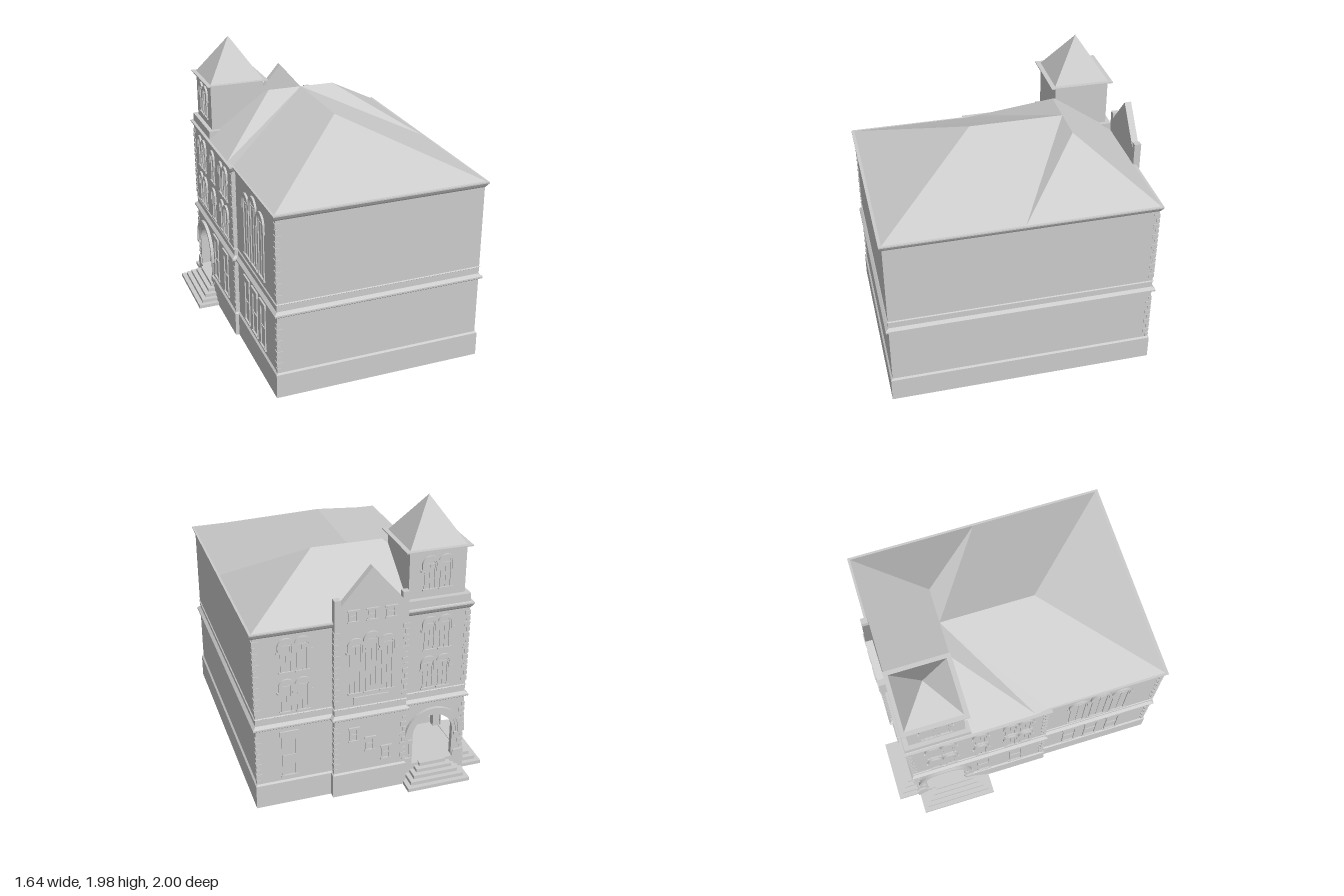
import * as THREE from 'three';
import { mergeGeometries } from 'three/addons/utils/BufferGeometryUtils.js';

const mat = new THREE.MeshStandardMaterial({ color: 0xcccccc, flatShading: true });
const roofMat = new THREE.MeshStandardMaterial({ color: 0xcccccc, flatShading: true, side: THREE.DoubleSide });

// Footprints as [x, z], walked with the outside on +z for a +x edge
const HOUSE = [[-.635, .98], [.795, .98], [.795, -.84], [-.66, -.84], [-.66, .15], [-.635, .15]];
const NOTCHED = [[-.635, .98], [.795, .98], [.795, -.84], [-.22, -.84], [-.22, -.40], [-.66, -.40], [-.66, .15], [-.635, .15]];
const BAY = [[-.215, -.80], [.28, -.80], [.28, -.885], [-.215, -.885]];

function add(parent, name, geo, x = 0, y = 0, z = 0, material = mat) {
  const m = new THREE.Mesh(geo, material);
  m.name = name;
  m.position.set(x, y, z);
  parent.add(m);
  return m;
}

// Box given by its limits
function block(parent, name, x0, x1, y0, y1, z0, z1) {
  return add(parent, name, new THREE.BoxGeometry(x1 - x0, y1 - y0, z1 - z0), (x0 + x1) / 2, (y0 + y1) / 2, (z0 + z1) / 2);
}

function fromTriangles(pos) {
  const g = new THREE.BufferGeometry();
  g.setAttribute('position', new THREE.Float32BufferAttribute(pos, 3));
  g.computeVertexNormals();
  return g;
}

// Right-angled footprint lofted through a profile of [offset, y], capped at both ends
function band(parent, name, pts, profile) {
  const n = pts.length;
  const normals = pts.map((p, i) => {
    const q = pts[(i + 1) % n];
    return [-Math.sign(q[1] - p[1]), Math.sign(q[0] - p[0])];
  });
  const rings = profile.map(([o, y]) => pts.map((p, i) => {
    const a = normals[(i + n - 1) % n], b = normals[i];
    return [p[0] + o * (a[0] + b[0]), y, p[1] + o * (a[1] + b[1])];
  }));
  const pos = [];
  for (let r = 0; r < rings.length - 1; r++) {
    for (let i = 0; i < n; i++) {
      const j = (i + 1) % n, A = rings[r], B = rings[r + 1];
      pos.push(...A[i], ...A[j], ...B[j], ...A[i], ...B[j], ...B[i]);
    }
  }
  const flat = pts.map(p => new THREE.Vector2(p[0], -p[1]));
  const last = rings[rings.length - 1];
  for (const [a, b, c] of THREE.ShapeUtils.triangulateShape(flat, [])) {
    pos.push(...last[a], ...last[b], ...last[c], ...rings[0][a], ...rings[0][c], ...rings[0][b]);
  }
  return add(parent, name, fromTriangles(pos), 0, 0, 0);
}

const extrude = (shape, depth) => new THREE.ExtrudeGeometry(shape, { depth, bevelEnabled: false, curveSegments: 12 });

// Arch-shaped strip from yb up over a semicircle centred at ys
function archBand(ri, ro, yb, ys, depth) {
  const s = new THREE.Shape();
  s.moveTo(ro, yb);
  s.lineTo(ro, ys);
  s.absarc(0, ys, ro, 0, Math.PI, false);
  s.lineTo(-ro, yb);
  s.lineTo(-ri, yb);
  s.lineTo(-ri, ys);
  s.absarc(0, ys, ri, Math.PI, 0, true);
  s.lineTo(ri, yb);
  return extrude(s, depth);
}

function archWindow(face, u, w, y0, y1) {
  const g = new THREE.Group();
  g.name = 'archedWindow';
  g.position.x = u;
  face.add(g);
  const r = w / 2, ys = y1 - r;
  add(g, 'hood', archBand(r, r + .018, ys - .035, ys, .014));
  add(g, 'frame', archBand(r - .01, r, y0, ys, .007));
  block(g, 'hoodFootLeft', -r - .026, -r, ys - .05, ys - .035, 0, .014);
  block(g, 'hoodFootRight', r, r + .026, ys - .05, ys - .035, 0, .014);
  block(g, 'transom', -r, r, ys - .005, ys + .003, 0, .005);
  block(g, 'mullion', -.003, .003, y0, ys, 0, .004);
  block(g, 'sill', -r - .01, r + .01, y0 - .012, y0, 0, .012);
}

function archRow(face, u, count, pitch, w, y0, y1, rise = 0) {
  for (let i = 0; i < count; i++) {
    const k = i - (count - 1) / 2;
    archWindow(face, u + k * pitch, w, y0, y1 + (k === 0 ? rise : 0));
  }
}

function rectWindow(face, u, w, y0, y1, lintel = .04) {
  const g = new THREE.Group();
  g.name = 'rectangularWindow';
  g.position.x = u;
  face.add(g);
  const r = w / 2, t = .01, mid = (y0 + y1) / 2;
  block(g, 'leftJamb', -r, -r + t, y0, y1, 0, .008);
  block(g, 'rightJamb', r - t, r, y0, y1, 0, .008);
  block(g, 'crossBar', -r, r, mid - .004, mid + .004, 0, .006);
  block(g, 'sill', -r - .008, r + .008, y0 - .012, y0, 0, .012);
  block(g, 'lintel', -r - .012, r + .012, y1, y1 + lintel, 0, .012);
}

// Arched porch wall with stepped mouldings
function porchWall(face, u, u0, u1) {
  const g = new THREE.Group();
  g.name = 'porchArch';
  face.add(g);
  const r = .155, ys = .34, s = new THREE.Shape();
  s.moveTo(u0, .12);
  s.lineTo(u - r, .12);
  s.lineTo(u - r, ys);
  s.absarc(u, ys, r, Math.PI, 0, true);
  s.lineTo(u + r, .12);
  s.lineTo(u1, .12);
  s.lineTo(u1, .58);
  s.lineTo(u0, .58);
  add(g, 'porchWall', extrude(s, .05), 0, 0, -.05);
  add(g, 'outerArch', archBand(.185, .205, ys - .02, ys, .022), u);
  add(g, 'middleArch', archBand(.168, .185, ys - .02, ys, .014), u);
  add(g, 'innerArch', archBand(r - .01, .168, .12, ys, .007), u);
  for (const k of [-1, 1]) block(g, 'impost', u + k * .183 - .026, u + k * .183 + .026, ys - .04, ys - .02, 0, .022);
  block(g, 'leftPierBase', u0, u - r, .12, .17, -.05, .015);
  block(g, 'rightPierBase', u + r, u1, .12, .17, -.05, .015);
}

export function createModel() {
  const model = new THREE.Group();
  model.name = 'hall';
  const faceGroup = (name, x, z, ry) => {
    const g = new THREE.Group();
    g.name = name;
    g.position.set(x, 0, z);
    g.rotation.y = ry;
    model.add(g);
    return g;
  };

  // Walls: foot, ground storey with corner porch cut out, upper storeys with mouldings
  const course = [[0, .585], [.02, .6], [.02, .612], [0, .63], [0, .675], [.007, .68], [0, .685]];
  band(model, 'foot', HOUSE, [[.012, 0], [.012, .12]]);
  band(model, 'groundStorey', NOTCHED, [[.012, .12], [.012, .17], [0, .18], [0, .58]]);
  band(model, 'upperStoreys', HOUSE, [[0, .58], ...course, [0, 1.26], [.008, 1.27], [.021, 1.292], [.021, 1.3]]);
  band(model, 'bayBase', BAY, [[.012, 0], [.012, .17], [0, .18], ...course]);

  // Local x on the back is -x; on the side it is z
  const back = faceGroup('backFace', 0, -.84, Math.PI);
  const bay = faceGroup('gabledBay', .0325, -.885, Math.PI);
  const wing = faceGroup('wingFace', -.66, 0, -Math.PI / 2);
  const main = faceGroup('mainSideFace', -.635, 0, -Math.PI / 2);

  // Gabled bay
  const half = [[.2475, .68], [.2475, 1.46], [.205, 1.46], [.205, 1.42]];
  const outline = [...half, [0, 1.66], ...half.map(([x, y]) => [-x, y]).reverse()];
  add(bay, 'gableWall', extrude(new THREE.Shape(outline.map(p => new THREE.Vector2(...p))), .047), 0, 0, -.047);
  archRow(bay, 0, 3, .108, .08, .79, 1.17, .035);
  block(bay, 'panel', -.12, .12, .7, .755, 0, .01);
  for (const k of [-1, 0, 1]) {
    rectWindow(bay, k * .125, .06, 1.31, 1.375, .012);
    rectWindow(bay, k * .113, .058, .335 - k * .09, .42 - k * .09, .015);
  }

  // Back wall
  for (const [y0, y1] of [[.71, .93], [1.0, 1.22]]) {
    archRow(back, -.53, 2, .108, .075, y0, y1);
    archRow(back, .435, 2, .108, .075, y0, y1);
    archRow(wing, -.61, 2, .108, .075, y0, y1);
    archRow(wing, -.33, 1, 0, .075, y0, y1);
    archRow(wing, -.06, 2, .108, .075, y0, y1);
  }
  rectWindow(back, -.575, .1, .22, .52);
  porchWall(back, .435, .22, .66);

  // Side walls
  porchWall(wing, -.62, -.84, -.40);
  for (const u of [-.32, -.07]) rectWindow(wing, u, .1, .22, .52);
  archRow(main, .54, 3, .155, .115, .74, 1.18, .04);
  for (const k of [-1, 0, 1]) rectWindow(main, .53 + k * .17, .1, .22, .52);

  // Corner quoins
  const quoins = [];
  for (const [x, z, sx, sz] of [[-.635, .98, 1, -1], [.795, -.84, -1, 1], [-.66, -.84, 1, 1],
    [-.66, .15, 1, -1], [.28, -.885, -1, 1], [-.215, -.885, 1, 1]]) {
    for (let i = 0; i < 26; i++) {
      const y = .2 + i * .041;
      if (y > .56 && y < .7) continue;
      const s = i % 2 ? .04 : .025;
      quoins.push(new THREE.BoxGeometry(s, .03, s).translate(x + sx * (s / 2 - .005), y, z + sz * (s / 2 - .005)));
    }
  }
  add(model, 'quoins', mergeGeometries(quoins));

  // Crossed hip roofs
  const E = 1.3, R = 1.62;
  const J = [.035, R, -.39], S = [.035, R, .26], ce = [.28, R, -.39], cw = [-.21, R, -.39];
  const se = [.8, E, .98], sw = [-.64, E, .98], ve = [.8, E, .06], vw = [-.66, E, .06], vm = [-.645, E, .15];
  const ne = [.8, E, -.845], nw = [-.665, E, -.845];
  const tris = [];
  for (const poly of [[sw, se, S], [se, ve, J, S], [sw, S, J, vm], [vm, J, vw],
    [J, ve, ce], [ve, ne, ce], [ne, nw, cw, ce], [nw, vw, cw], [vw, J, cw]]) {
    for (let i = 1; i < poly.length - 1; i++) tris.push(...poly[0], ...poly[i], ...poly[i + 1]);
  }
  add(model, 'roof', fromTriangles(tris), 0, 0, 0, roofMat);

  // Corner tower
  block(model, 'towerBase', -.66, -.21, 1.3, 1.36, -.84, -.39);
  block(model, 'tower', -.63, -.24, 1.3, 1.69, -.805, -.42);
  block(model, 'towerEaves', -.66, -.21, 1.687, 1.694, -.835, -.385);
  add(model, 'towerRoof', new THREE.ConeGeometry(.195 * Math.SQRT2, .29, 4, 1).rotateY(Math.PI / 4), -.435, 1.838, -.612);
  archRow(faceGroup('towerBackFace', -.435, -.805, Math.PI), 0, 2, .108, .08, 1.42, 1.63);
  archRow(faceGroup('towerSideFace', -.63, -.612, -Math.PI / 2), 0, 2, .108, .08, 1.42, 1.63);

  // Porch steps, rising inward on three sides
  for (let i = 0; i < 5; i++) {
    const d = .032 * i, y = .025 * (i + 1);
    block(model, 'backStep', -.66 + d, -.21 - d, 0, y, -1 + d, -.83);
    block(model, 'sideStep', -.82 + d, -.65, 0, y, -.84 + d, -.29 - d);
  }
  return model;
}
